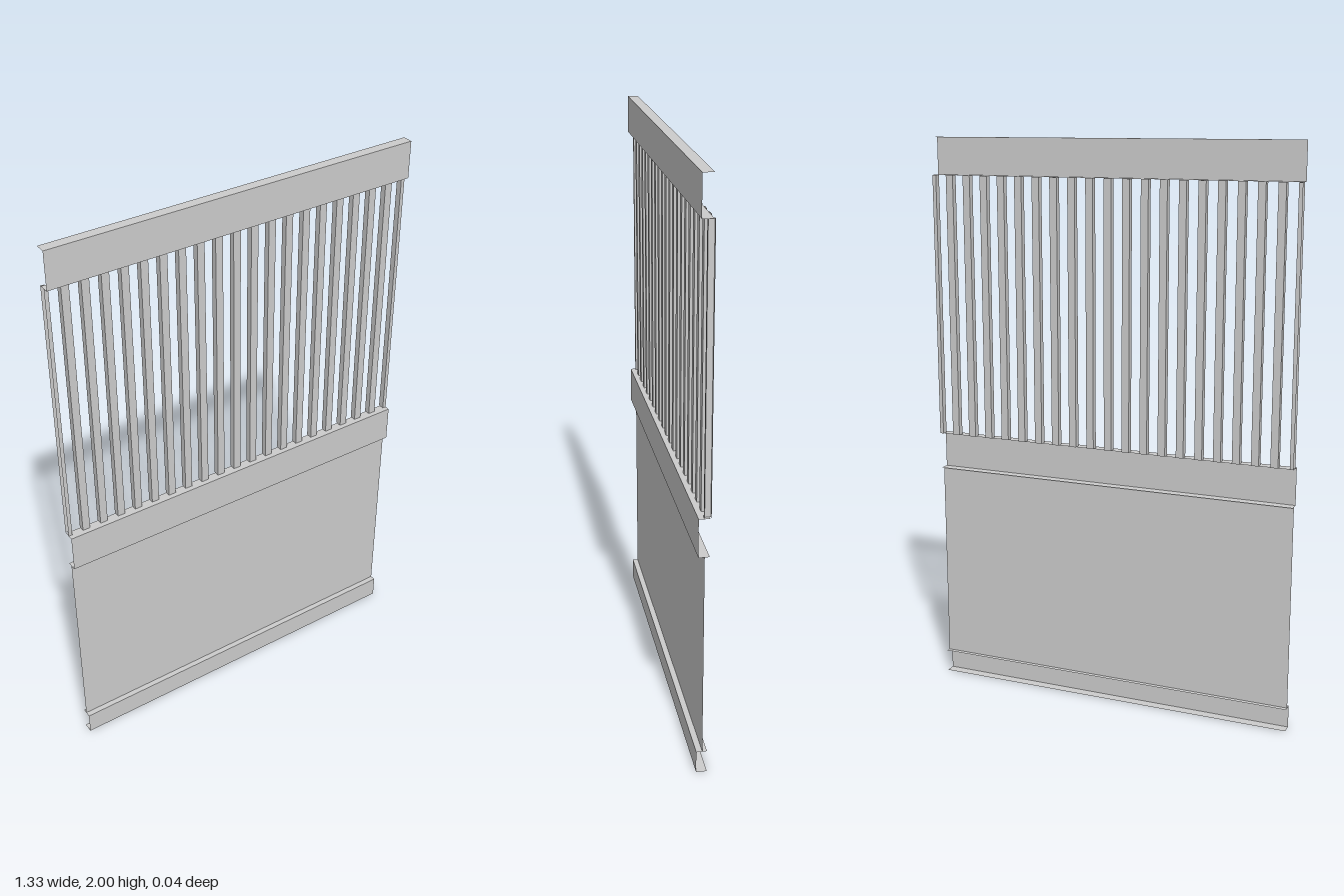
import * as THREE from 'three';

const HALF = 0.667;
const material = new THREE.MeshStandardMaterial({
  color: 0xcccccc, flatShading: true, side: THREE.DoubleSide,
});

// Builds a thin sheet along `axis` by sweeping an open section of 2D points
function foldedSheet(section, axis, from, to, name) {
  const place = (p, t) => (axis === 'x' ? [t, p[0], p[1]] : [p[0], t, p[1]]);
  const positions = [];
  for (let i = 0; i < section.length - 1; i++) {
    const a = place(section[i], from), b = place(section[i + 1], from);
    const c = place(section[i + 1], to), d = place(section[i], to);
    positions.push(...a, ...b, ...c, ...a, ...c, ...d);
  }
  const geometry = new THREE.BufferGeometry();
  geometry.setAttribute('position', new THREE.Float32BufferAttribute(positions, 3));
  geometry.computeVertexNormals();
  const mesh = new THREE.Mesh(geometry, material);
  mesh.name = name;
  return mesh;
}

// Channel rail: front plate with two flanges folded to the back, section in (y, z)
function rail(bottom, top, name) {
  const front = 0.02, back = -0.016;
  const section = [[top, back], [top, front], [bottom, front], [bottom, back]];
  return foldedSheet(section, 'x', HALF, -HALF, name);
}

export function createModel() {
  const model = new THREE.Group();
  model.name = 'fencePanel';

  // Rails
  model.add(rail(0, 0.08, 'bottomRail'));
  model.add(rail(0.805, 0.937, 'middleRail'));
  model.add(rail(1.87, 2, 'topRail'));

  // Solid lower panel
  const panel = new THREE.Mesh(new THREE.PlaneGeometry(2 * HALF, 0.725), material);
  panel.position.y = 0.4425;
  panel.name = 'lowerPanel';
  model.add(panel);

  // Hollow bars, the outermost two cut in half by the panel ends
  const bars = new THREE.Group();
  bars.name = 'bars';
  const count = 20, w = 0.0133, front = 0.002, back = -0.02;
  for (let i = 0; i <= count; i++) {
    const x = -HALF + (2 * HALF * i) / count;
    let section = [[x - w, front], [x + w, front], [x + w, back], [x - w, back], [x - w, front]];
    if (i === 0) section = [[x, front], [x + w, front], [x + w, back], [x, back]];
    if (i === count) section = [[x, back], [x - w, back], [x - w, front], [x, front]];
    bars.add(foldedSheet(section, 'y', 0.937, 1.87, 'bar'));
  }
  model.add(bars);

  return model;
}
